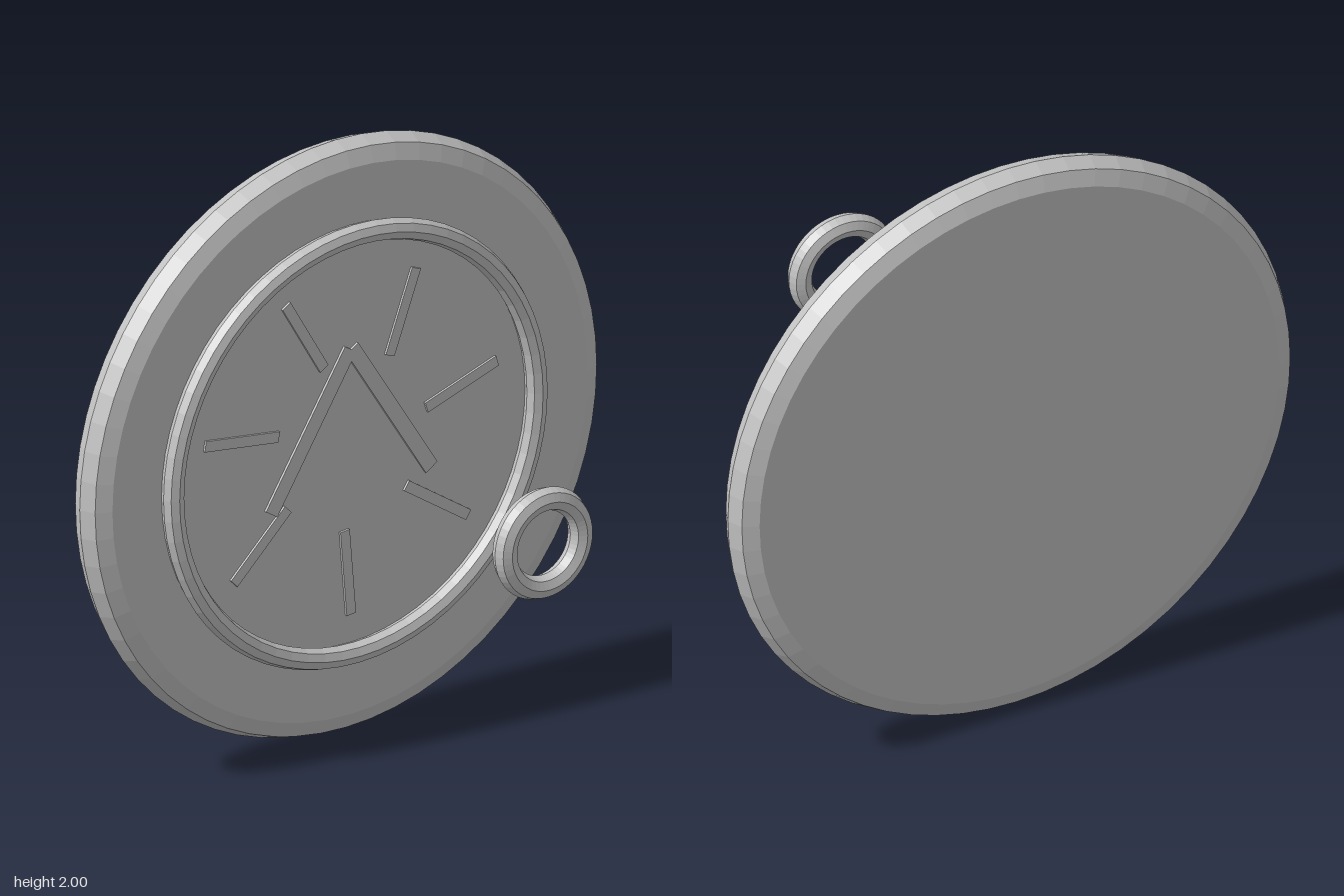
import * as THREE from 'three';

export function createModel() {
  const model = new THREE.Group();
  const grey = new THREE.MeshStandardMaterial({ color: 0xc4c4c4, flatShading: true });
  grey.name = 'plain grey';

  const CENTRE_Y = 1;
  const DISC_Z = -0.52, DISC_BEVEL = 0.073;
  const FACE_Z = DISC_Z + DISC_BEVEL;

  function add(name, geometry, x, y, z, turn = 0) {
    const mesh = new THREE.Mesh(geometry, grey);
    mesh.name = name;
    mesh.position.set(x, CENTRE_Y + y, z);
    mesh.rotation.z = turn;
    model.add(mesh);
    return mesh;
  }

  // Solid disc whose rim is half an octagon in section
  const profile = [new THREE.Vector2(0, -DISC_BEVEL)];
  for (let i = 0; i <= 4; i++) {
    const a = -Math.PI / 2 + (i * Math.PI) / 4;
    profile.push(new THREE.Vector2(1 - DISC_BEVEL + DISC_BEVEL * Math.cos(a), DISC_BEVEL * Math.sin(a)));
  }
  profile.push(new THREE.Vector2(0, DISC_BEVEL));
  const discGeometry = new THREE.LatheGeometry(profile, 64).rotateX(Math.PI / 2);
  add('disc', discGeometry, 0, 0, DISC_Z);

  // Raised ring on the face, and the small loose ring in front
  add('raisedRing', new THREE.TorusGeometry(0.709, 0.036, 8, 64), 0, 0, -0.424);
  add('floatingRing', new THREE.TorusGeometry(0.147, 0.039, 8, 48), 0, 0, 0.554);

  // Seven slightly twisted marks around the face
  const markGeometry = new THREE.BoxGeometry(0.29, 0.036, 0.016);
  for (let i = 0; i < 7; i++) {
    const a = THREE.MathUtils.degToRad(11.2) + (i * Math.PI * 2) / 7;
    const twist = THREE.MathUtils.degToRad(6.5);
    add('faceMark' + (i + 1), markGeometry, 0.44 * Math.cos(a), 0.44 * Math.sin(a), FACE_Z, a + twist);
  }

  // Chevron made of two mirrored bars
  const barGeometry = new THREE.BoxGeometry(0.573, 0.052, 0.018);
  for (const side of [1, -1]) {
    add(side > 0 ? 'leftChevronBar' : 'rightChevronBar', barGeometry,
      side * 0.158, 0.076, FACE_Z, -side * THREE.MathUtils.degToRad(57.4));
  }

  return model;
}
